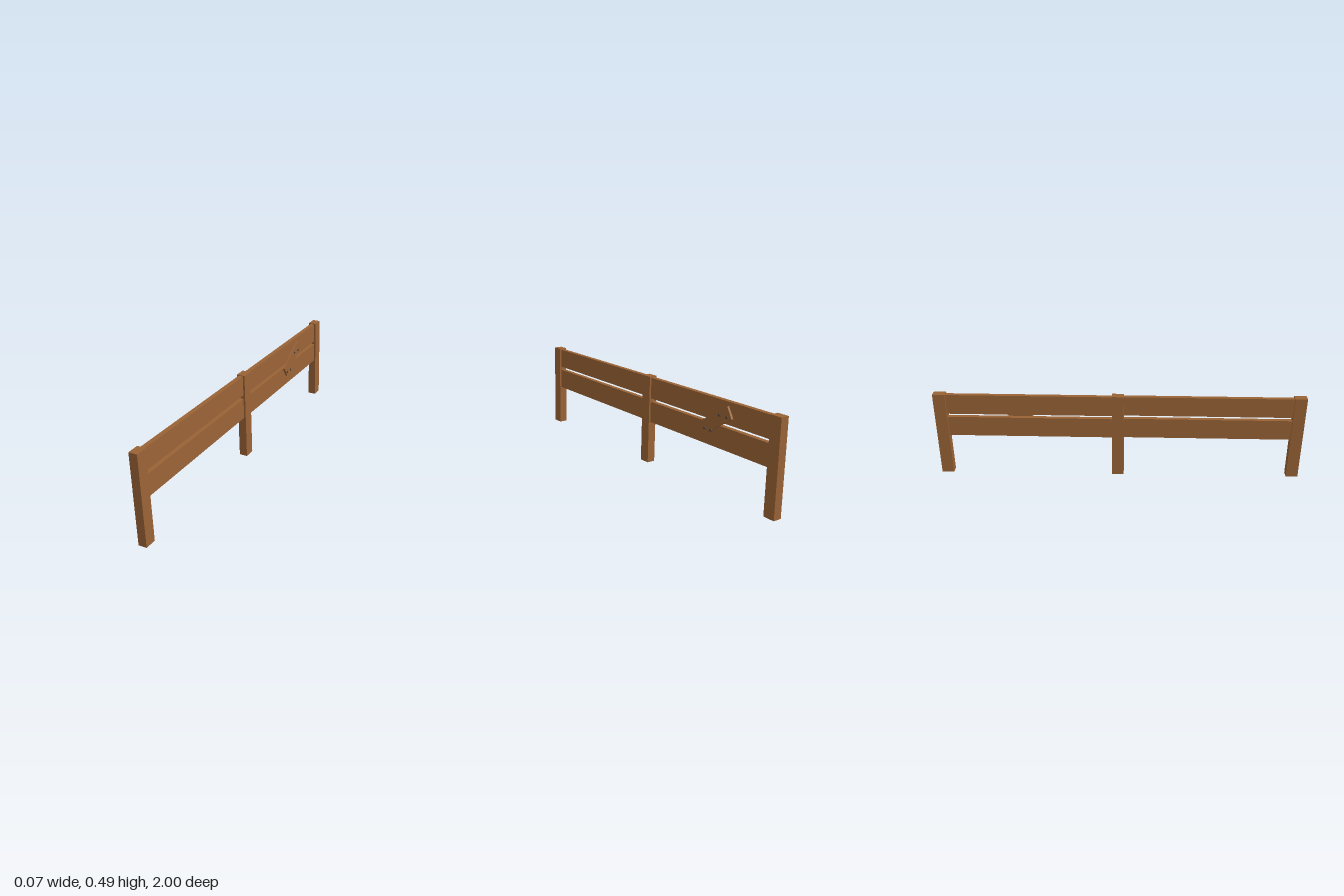
import * as THREE from 'three';

export function createModel() {
  const group = new THREE.Group();
  const wood = new THREE.MeshStandardMaterial({ color: 0x9a6336 });
  wood.name = 'wood';
  const iron = new THREE.MeshStandardMaterial({ color: 0x45413e });
  iron.name = 'iron';

  // The whole fence leans slightly to -x and runs a little askew along z
  function lean(geometry) {
    const p = geometry.attributes.position;
    for (let i = 0; i < p.count; i++) {
      p.setX(i, p.getX(i) + 0.0068 - 0.0333 * p.getY(i) - 0.0028 * p.getZ(i));
    }
    const flat = geometry.toNonIndexed();
    flat.computeVertexNormals();
    return flat;
  }

  function add(name, geometry, material) {
    const mesh = new THREE.Mesh(lean(geometry), material);
    mesh.name = name;
    group.add(mesh);
  }

  // Box given by its thickness and its y and z ranges
  function beam(name, thick, y0, y1, z0, z1) {
    const g = new THREE.BoxGeometry(thick, y1 - y0, z1 - z0);
    g.translate(0, (y0 + y1) / 2, (z0 + z1) / 2);
    add(name, g, wood);
  }

  // Posts
  beam('frontPost', 0.045, 0.006, 0.487, 0.935, 1);
  beam('middlePost', 0.045, 0.003, 0.485, -0.036, 0.028);
  beam('backPost', 0.045, 0, 0.484, -1, -0.934);

  // Planks of the two bays, ends buried in the posts
  beam('frontUpperPlank', 0.025, 0.371, 0.481, 0.01, 0.95);
  beam('frontLowerPlank', 0.025, 0.237, 0.351, 0.01, 0.95);
  beam('backUpperPlank', 0.025, 0.366, 0.479, -0.95, -0.01);
  beam('backLowerPlank', 0.025, 0.234, 0.347, -0.95, -0.01);

  // Slanted repair board nailed across the gap
  const board = new THREE.BoxGeometry(0.012, 0.067, 0.218);
  board.rotateX(0.54);
  board.translate(0.0185, 0.374, -0.578);
  add('repairBoard', board, wood);

  // Nail heads
  for (const [y, z] of [[0.404, -0.604], [0.404, -0.655], [0.316, -0.5], [0.316, -0.545]]) {
    const nail = new THREE.CylinderGeometry(0.006, 0.009, 0.008, 8);
    nail.rotateZ(-Math.PI / 2);
    nail.translate(0.0245, y, z);
    add('nail', nail, iron);
  }

  return group;
}
